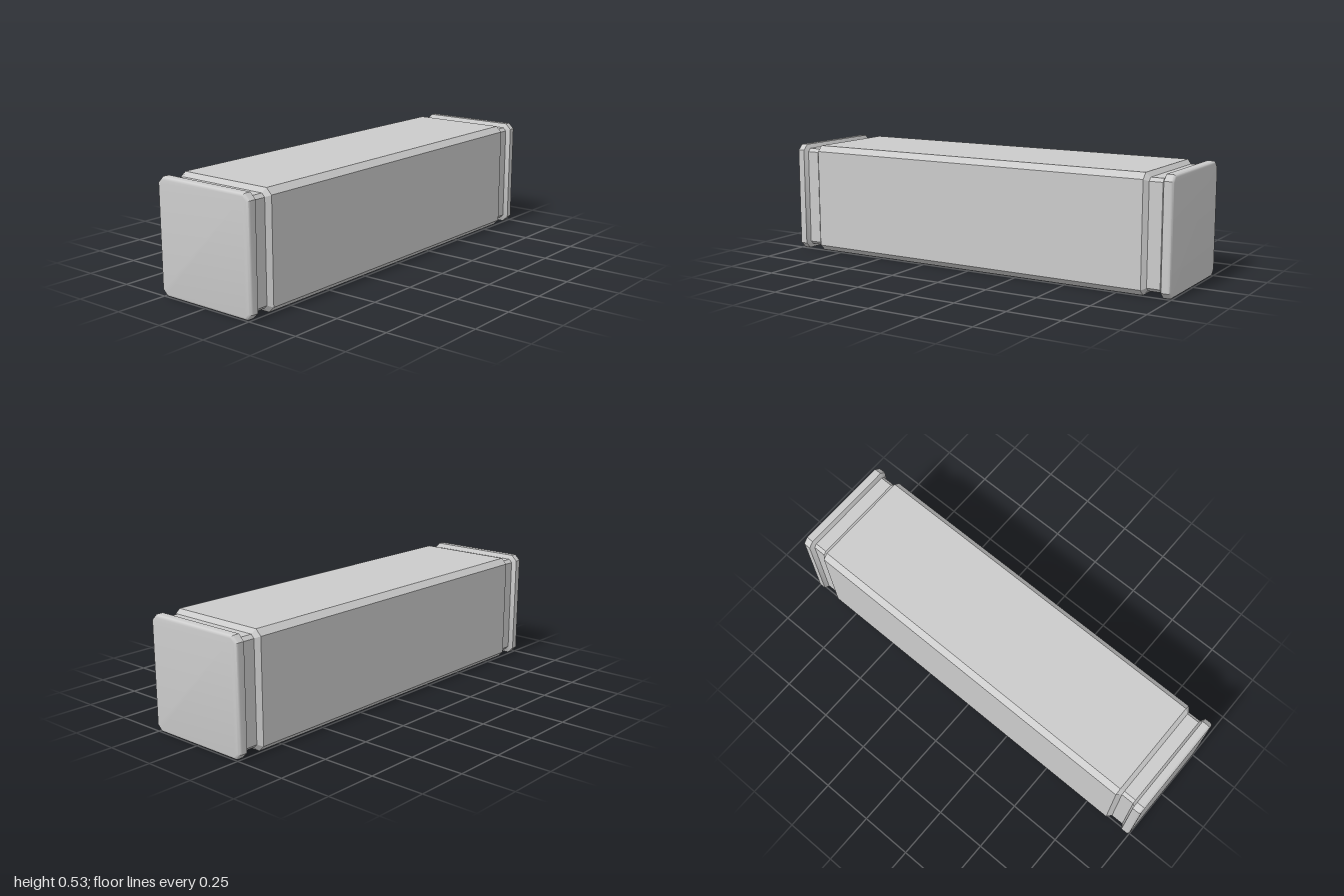
import * as THREE from 'three';
import { toCreasedNormals } from 'three/addons/utils/BufferGeometryUtils.js';

const HALF = 0.263;     // half width of the square bar
const CHAMFER = 0.027;  // cut along the four long edges
const NECK = 0.02;      // depth of the grooves

// Chamfered square ring at x, offset inwards by inset
function ring(x, inset) {
  const h = HALF - inset;
  const w = HALF - CHAMFER - inset * Math.tan(Math.PI / 8);
  return [[h, -w], [h, w], [w, h], [-w, h], [-h, w], [-h, -w], [-w, -h], [w, -h]]
    .map(([y, z]) => new THREE.Vector3(x, y + HALF, z));
}

// Skin over [x, inset] stations running towards +x, optionally closed at the end
function loft(stations, closeEnd = false) {
  const rings = stations.map(([x, inset]) => ring(x, inset));
  const points = [];
  for (let i = 0; i < rings.length - 1; i++) {
    for (let j = 0; j < 8; j++) {
      const k = (j + 1) % 8;
      const a = rings[i][j], b = rings[i][k], c = rings[i + 1][k], d = rings[i + 1][j];
      points.push(a, b, c, a, c, d);
    }
  }
  if (closeEnd) {
    const last = rings[rings.length - 1];
    for (let j = 1; j < 7; j++) points.push(last[0], last[j], last[j + 1]);
  }
  const geometry = new THREE.BufferGeometry().setFromPoints(points);
  return toCreasedNormals(geometry, 0.5);
}

export function createModel() {
  const group = new THREE.Group();
  const material = new THREE.MeshStandardMaterial({ color: 0xcccccc });

  const add = (name, geometry, parent) => {
    const mesh = new THREE.Mesh(geometry, material);
    mesh.name = name;
    parent.add(mesh);
  };

  // Long middle bar, bevelled down to the grooves
  add('body', loft([[-0.886, NECK], [-0.867, 0], [0.867, 0], [0.886, NECK]]), group);

  // End plate with a softly rounded outer rim
  const capStations = [[0.947, NECK], [0.959, 0]];
  const r = 0.013;
  for (let i = 0; i <= 4; i++) {
    const t = (i / 4) * Math.PI / 2;
    capStations.push([1 - r + r * Math.sin(t), r * (1 - Math.cos(t))]);
  }
  const neck = loft([[0.886, NECK], [0.947, NECK]]);
  const cap = loft(capStations, true);

  // Groove and end plate at both ends
  for (const side of ['left', 'right']) {
    const end = new THREE.Group();
    end.name = side + 'End';
    add(side + 'Neck', neck, end);
    add(side + 'EndPlate', cap, end);
    if (side === 'right') end.rotation.y = Math.PI;
    group.add(end);
  }
  return group;
}
